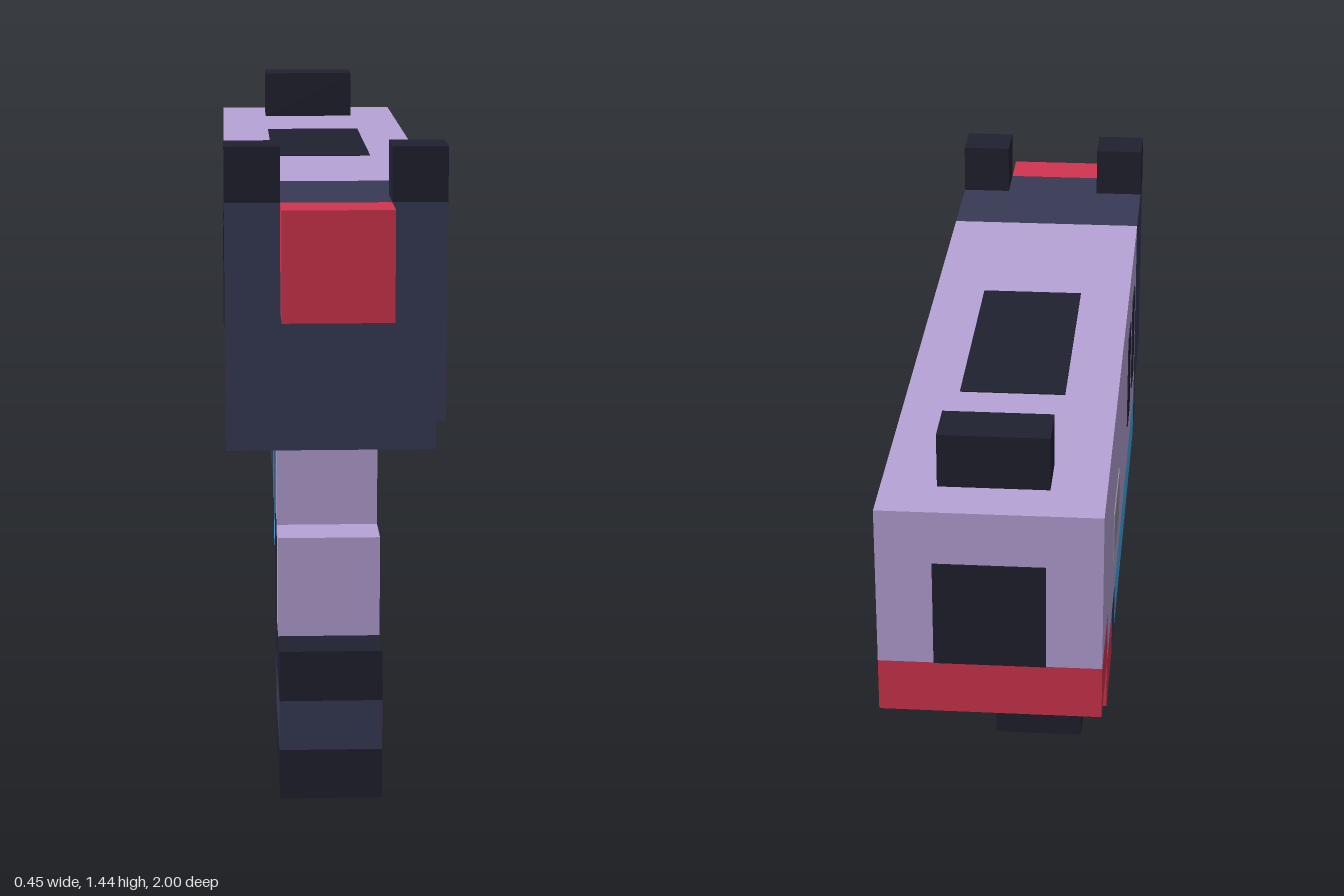
import * as THREE from 'three';

const U = 1 / 9; // edge of one block

const mat = (color) => new THREE.MeshStandardMaterial({ color });

export function createModel() {
  const model = new THREE.Group();
  const lilac = mat(0xb5a3d6), navy = mat(0x383a55), black = mat(0x20212f);
  const red = mat(0xd2344f), blue = mat(0x3fa9e8), grey = mat(0x958fa0);

  // Box given by its block limits along x, y and z
  function block(name, material, [x0, x1], [y0, y1], [z0, z1], parent = model) {
    const geo = new THREE.BoxGeometry((x1 - x0) * U, (y1 - y0) * U, (z1 - z0) * U);
    const mesh = new THREE.Mesh(geo, material);
    mesh.position.set((x0 + x1) / 2 * U, (y0 + y1) / 2 * U, (z0 + z1) / 2 * U);
    mesh.name = name;
    parent.add(mesh);
    return mesh;
  }
  function section(name) {
    const g = new THREE.Group();
    g.name = name;
    model.add(g);
    return g;
  }
  const wide = [-2, 2], slim = [-1, 1];
  const e = 0.02; // inlays stand a hair proud of the body

  // Slide
  const slide = section('slide');
  block('slideUpper', lilac, wide, [9, 12], [-9, 5], slide);
  block('slideLower', lilac, wide, [8, 9], [-7, 5], slide);
  block('rearBlock', navy, wide, [8, 12], [5, 8], slide);
  block('rearPlug', red, slim, [10, 12], [8, 9], slide);
  block('muzzleLip', red, wide, [8, 9], [-9, -7], slide);
  block('muzzleOpening', black, slim, [9, 11], [-9 - e, -8.5], slide);
  block('topPort', black, slim, [11.5, 12 + e], [-4, 1], slide);

  // Side inlays: two slots and a plate on each flank
  for (const s of [-1, 1]) {
    const flank = s > 0 ? [1.5, 2 + e] : [-2 - e, -1.5];
    block('rearSlot', black, flank, [9, 11], [3, 4], slide);
    block('frontSlot', black, flank, [9, 11], [1, 2], slide);
    block('sidePlate', grey, flank, [9, 10], [-5, -3], slide);
  }

  // Sights
  const sights = section('sights');
  block('frontSight', black, slim, [12, 13], [-8, -7], sights);
  block('rearSightRight', black, [-2, -1], [12, 13], [7, 8], sights);
  block('rearSightLeft', black, [1, 2], [12, 13], [7, 8], sights);

  // Frame under the slide, with a coloured strip on each side
  const frame = section('frame');
  block('frameCore', navy, slim, [7, 8], [-4, 5], frame);
  block('stripRight', blue, [-2, -1], [7, 8], [-4, 5], frame);
  block('stripLeft', blue, [1, 2], [7, 8], [-4, 5], frame);
  block('frameRear', navy, wide, [7, 8], [5, 6], frame);
  block('frameFront', navy, wide, [7, 8], [-5, -4], frame);
  block('frameNose', red, wide, [7, 8], [-7, -5], frame);

  // Trigger and its guard
  const guard = section('triggerGuard');
  block('guardBar', navy, slim, [5, 6], [-3, 1], guard);
  block('guardPost', navy, slim, [6, 7], [-3, -2], guard);
  block('trigger', grey, slim, [6, 7], [-1, 0], guard);

  // Stepped grip
  const grip = section('grip');
  block('gripTop', black, slim, [6, 7], [1, 3], grip);
  block('gripCore', black, slim, [3, 6], [2, 3], grip);
  block('gripInsert', blue, slim, [4, 6], [1, 2], grip);
  block('backstrapUpper', lilac, slim, [5, 7], [3, 4], grip);
  block('gripLower', black, slim, [3, 5], [3, 4], grip);
  block('backstrapLower', lilac, slim, [3, 5], [4, 5], grip);

  // Magazine base in three layers
  [black, navy, black].forEach((m, i) => block('baseLayer' + (i + 1), m, slim, [i, i + 1], [3, 6], grip));

  return model;
}
